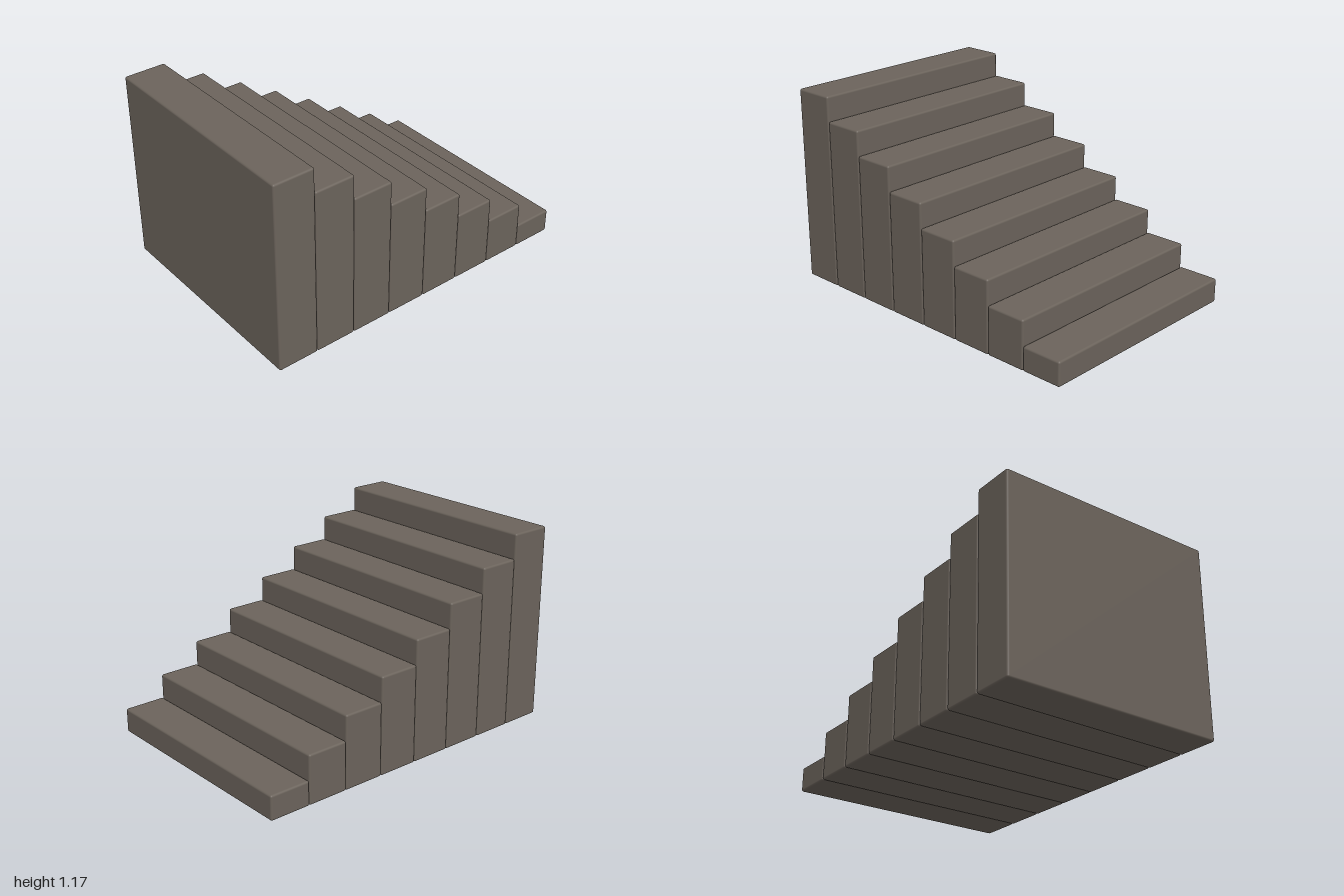
import * as THREE from 'three';
import { RoundedBoxGeometry } from 'three/addons/geometries/RoundedBoxGeometry.js';

const STEPS = 8;
const WIDTH = 1.37;
const DEPTH = 2 / STEPS;
const RISE = 1.168 / STEPS;
const BEVEL = 0.012;

export function createModel() {
  const group = new THREE.Group();
  group.name = 'staircase';
  const stone = new THREE.MeshStandardMaterial({ color: 0x6b635b });

  // Solid blocks standing side by side, rising from the back to the front
  for (let i = 0; i < STEPS; i++) {
    const height = RISE * (i + 1);
    const step = new THREE.Mesh(new RoundedBoxGeometry(WIDTH, height, DEPTH, 2, BEVEL), stone);
    step.name = `step${i + 1}`;
    step.position.set(0, height / 2, -1 + DEPTH * (i + 0.5));
    group.add(step);
  }
  return group;
}
